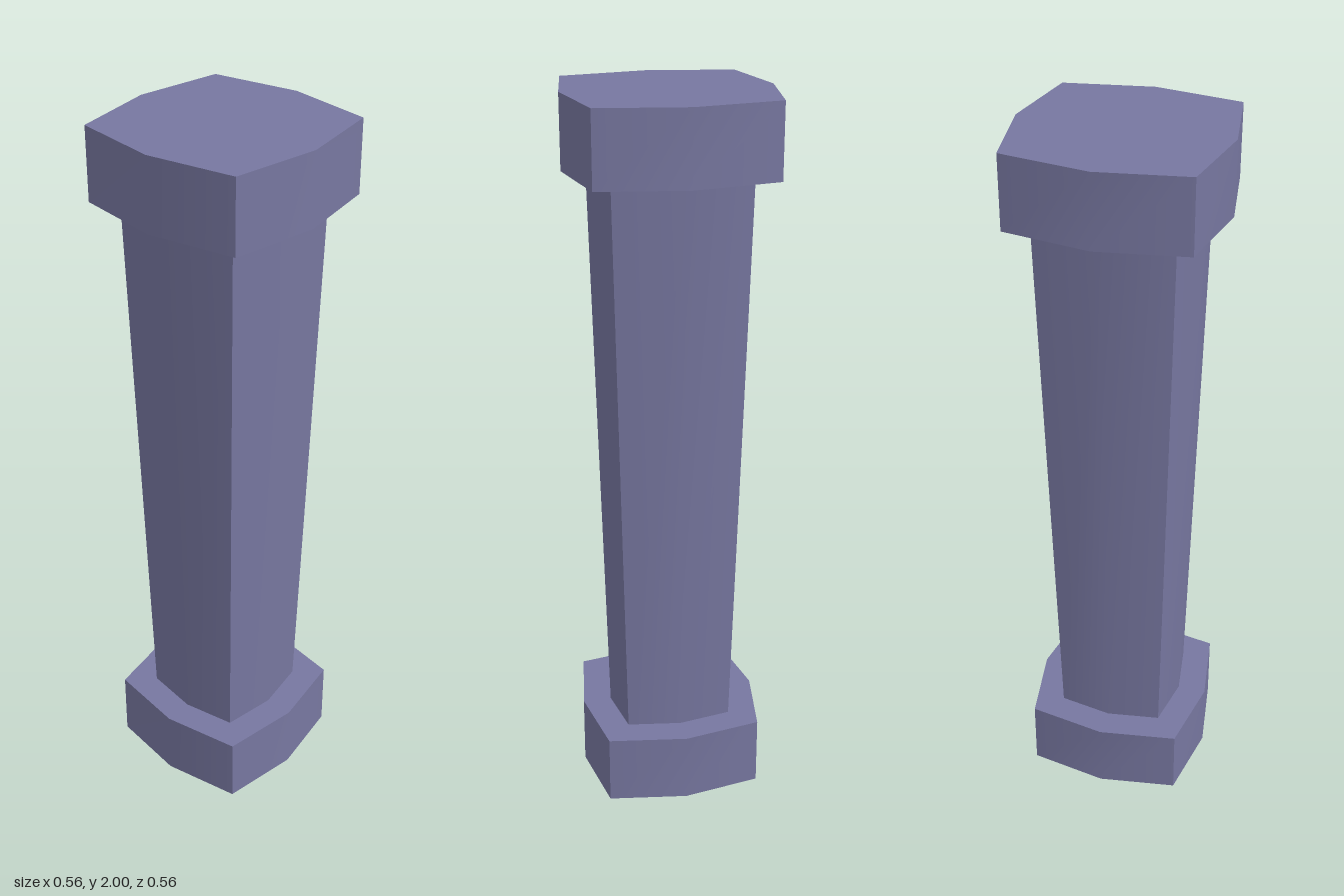
import * as THREE from 'three';
import { toCreasedNormals } from 'three/addons/utils/BufferGeometryUtils.js';

const BULGE = 7 / 6; // middle of each side stands out past the corner line

// Upright block with four bulging sides; c is the corner's distance along x and z.
// parts: number of indices kept (48 = sides, 72 = sides and top, 96 = closed)
function bulgedBlock(cTop, cBottom, y0, y1, parts) {
  const geo = new THREE.CylinderGeometry(cTop * BULGE, cBottom * BULGE, y1 - y0, 8);
  const p = geo.attributes.position;
  const k = Math.SQRT2 / BULGE;
  for (let i = 0; i < p.count; i++) {
    const x = p.getX(i), z = p.getZ(i);
    // push the diagonal points out to the square's corners
    if (Math.abs(x) > 1e-4 && Math.abs(z) > 1e-4) p.setXYZ(i, x * k, p.getY(i), z * k);
  }
  geo.setIndex(Array.from(geo.index.array).slice(0, parts));
  geo.clearGroups();
  geo.translate(0, (y0 + y1) / 2, 0);
  return toCreasedNormals(geo, 0.6);
}

export function createModel() {
  const model = new THREE.Group();
  model.name = 'pillar';
  const stone = new THREE.MeshStandardMaterial({ color: 0x7777a0, side: THREE.DoubleSide });
  stone.name = 'slate violet';

  const add = (name, ...args) => {
    const mesh = new THREE.Mesh(bulgedBlock(...args), stone);
    mesh.name = name;
    model.add(mesh);
  };

  add('base', 0.22, 0.22, 0, 0.2, 72); // hollow, open underneath
  add('shaft', 0.185, 0.15, 0.2, 1.8, 48); // widens upwards
  add('capital', 0.24, 0.24, 1.8, 2, 96);
  return model;
}
